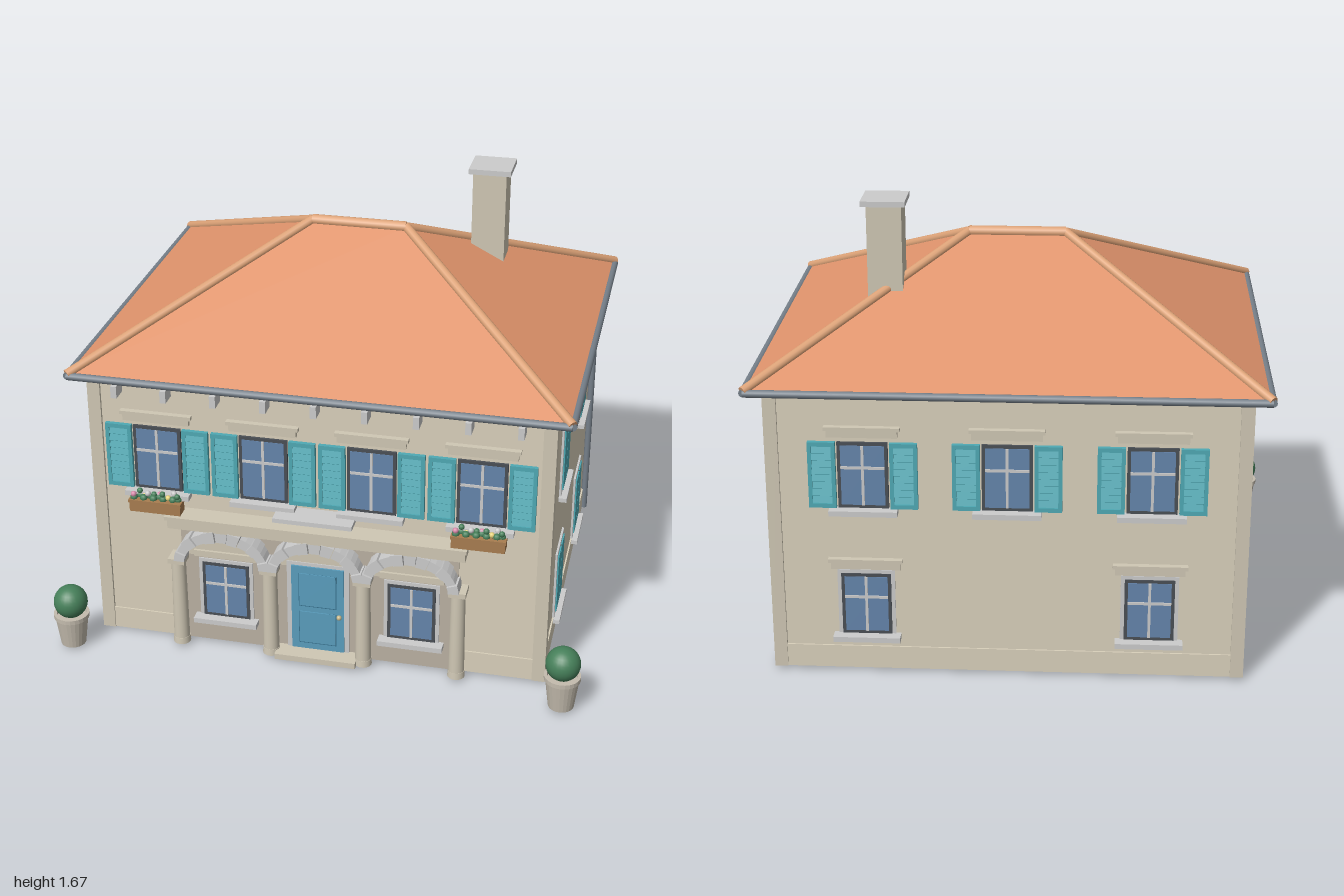
import * as THREE from 'three';

const COLORS = {
  wall: 0xd9d0bb, trim: 0xcfc7b4, white: 0xdcdcd8, stone: 0xd0d0cc, recess: 0xbab0a2,
  roof: 0xe0946c, cap: 0xdca277, gutter: 0x76808a, teal: 0x4fa9b4, tealDark: 0x3b8d97,
  glass: 0x6585ac, frame: 0x4a4f55, door: 0x5a9dbd, doorDark: 0x35708c, brass: 0xc9b98a,
  wood: 0xa87d50, pot: 0xc4bcae, leaf: 0x46805a, pink: 0xd98bab, yellow: 0xe6d27a,
};
const mats = {};
const mat = (c) => (mats[c] ??= new THREE.MeshStandardMaterial({ color: COLORS[c] }));

function add(parent, name, geo, color, x = 0, y = 0, z = 0) {
  const m = new THREE.Mesh(geo, mat(color));
  m.name = name;
  m.position.set(x, y, z);
  parent.add(m);
  return m;
}
// Box given by its limits on each axis
function box(parent, name, color, x0, x1, y0, y1, z0, z1) {
  return add(parent, name, new THREE.BoxGeometry(x1 - x0, y1 - y0, z1 - z0), color,
    (x0 + x1) / 2, (y0 + y1) / 2, (z0 + z1) / 2);
}
function group(parent, name, x = 0, y = 0, z = 0, turn = 0) {
  const g = new THREE.Group();
  g.name = name;
  g.position.set(x, y, z);
  g.rotation.y = turn;
  parent.add(g);
  return g;
}
// Round rod between two points
function rod(parent, name, color, a, b, r, sides = 12) {
  const p = new THREE.Vector3(...a), q = new THREE.Vector3(...b), d = q.clone().sub(p);
  const m = add(parent, name, new THREE.CylinderGeometry(r, r, d.length(), sides), color);
  m.position.copy(p).add(q).multiplyScalar(0.5);
  m.quaternion.setFromUnitVectors(new THREE.Vector3(0, 1, 0), d.normalize());
  return m;
}

// Glazed window on a facade whose outer plane is local z = 0
function glazedWindow(f, x, y0, y1, { shutters = false, lintel = true, surround = false }) {
  const g = group(f, 'window', x), w = 0.09, bar = y0 + (y1 - y0) * 0.62;
  if (surround) box(g, 'windowSurround', 'white', -w - 0.014, w + 0.014, y0, y1 + 0.014, -0.01, 0.006);
  box(g, 'windowFrame', 'frame', -w, w, y0, y1, -0.01, 0.009);
  box(g, 'windowGlass', 'glass', -w + 0.012, w - 0.012, y0 + 0.012, y1 - 0.012, 0, 0.011);
  box(g, 'verticalBar', 'white', -0.005, 0.005, y0 + 0.012, y1 - 0.012, 0, 0.015);
  box(g, 'horizontalBar', 'white', -w + 0.012, w - 0.012, bar - 0.005, bar + 0.005, 0, 0.015);
  box(g, 'windowSill', 'white', -0.122, 0.122, y0 - 0.02, y0, -0.01, 0.045);
  if (lintel) {
    box(g, 'lintel', 'trim', -0.125, 0.125, y1 + 0.02, y1 + 0.046, -0.01, 0.016);
    box(g, 'lintelCap', 'trim', -0.134, 0.134, y1 + 0.046, y1 + 0.06, -0.01, 0.022);
  }
  if (shutters) for (const s of [-1, 1]) {
    const p = group(g, 'shutter', s * 0.145);
    box(p, 'shutterPanel', 'tealDark', -0.04, 0.04, y0 + 0.01, y1 - 0.01, 0, 0.008);
    for (const e of [-1, 1]) {
      box(p, 'shutterStile', 'teal', e * 0.042 - 0.007, e * 0.042 + 0.007, y0, y1, 0, 0.016);
      const yr = e < 0 ? y0 : y1 - 0.016;
      box(p, 'shutterRail', 'teal', -0.04, 0.04, yr, yr + 0.016, 0, 0.016);
    }
    for (let i = 0; i < 8; i++) {
      const y = y0 + 0.016 + (i + 0.5) * (y1 - y0 - 0.032) / 8;
      box(p, 'louvre', 'teal', -0.036, 0.036, y - 0.012, y + 0.012, 0.007, 0.012).rotation.x = -0.3;
    }
  }
}

// Window closed by a pair of flat shutters
function closedWindow(f, x, y0) {
  const g = group(f, 'closedWindow', x, y0), w = 0.087, h = 0.245;
  box(g, 'windowSurround', 'white', -w - 0.017, w + 0.017, -0.017, h + 0.017, -0.01, 0.008);
  for (const s of [-1, 1])
    box(g, 'closedShutter', 'teal', s * 0.045 - 0.042, s * 0.045 + 0.042, 0, h, 0, 0.013);
  box(g, 'shutterGap', 'frame', -0.003, 0.003, 0, h, 0, 0.012);
  box(g, 'windowSill', 'white', -0.115, 0.115, -0.036, -0.02, -0.01, 0.03);
}

// Arch of wedge stones over an elliptical opening
function stoneArch(f, x, y) {
  const g = group(f, 'stoneArch', x, y, 0.005), n = 11;
  for (let i = 0; i < n; i++) {
    const a0 = Math.PI * (i + 0.03) / n, a1 = Math.PI * (i + 0.97) / n, k = i % 2 ? 0 : 0.006;
    const pts = [];
    for (const t of [a0, (a0 + a1) / 2, a1])
      pts.push(new THREE.Vector2(Math.cos(t) * (0.177 + k), Math.sin(t) * (0.138 + k)));
    for (const t of [a1, (a0 + a1) / 2, a0])
      pts.push(new THREE.Vector2(Math.cos(t) * 0.143, Math.sin(t) * 0.098));
    add(g, 'archStone', new THREE.ExtrudeGeometry(new THREE.Shape(pts),
      { depth: 0.062 + k, bevelEnabled: false }), 'stone');
  }
}

function flowerBox(f, x) {
  const g = group(f, 'flowerBox', x, 0.58, 0.047);
  box(g, 'planter', 'wood', -0.097, 0.097, 0, 0.046, -0.026, 0.026);
  box(g, 'planterRim', 'wood', -0.1, 0.1, 0.036, 0.048, -0.029, 0.029);
  const blooms = ['pink', 'leaf', 'yellow', 'white', 'leaf'];
  for (let i = 0; i < 10; i++) {
    const px = -0.083 + i * 0.0184, h = 0.066 + 0.01 * Math.sin(i * 2.4);
    add(g, 'foliage', new THREE.SphereGeometry(0.014, 10, 8), 'leaf', px, 0.052, 0.01 * Math.cos(i * 3));
    add(g, 'bloom', new THREE.SphereGeometry(0.011, 10, 8), blooms[i % 5], px, h, 0.013 * Math.cos(i * 2));
  }
}

function pottedBush(parent, x) {
  const g = group(parent, 'pottedBush', x, 0.012, 0.757);
  const profile = [[0, 0], [0.047, 0], [0.062, 0.115], [0.067, 0.115], [0.067, 0.132], [0.056, 0.132], [0.054, 0.12], [0, 0.12]];
  const geo = new THREE.LatheGeometry(profile.map((p) => new THREE.Vector2(...p)), 24).toNonIndexed();
  geo.computeVertexNormals();
  add(g, 'pot', geo, 'pot');
  add(g, 'bush', new THREE.SphereGeometry(0.064, 24, 16), 'leaf', 0, 0.18, 0);
}

// Hipped roof: eave rectangle rising to a short ridge
function hippedRoof(parent) {
  const g = group(parent, 'roof', 0, 0, -0.07);
  const X = 0.91, Z = 0.75, E = 1.11, R = 0.18, T = 1.483;
  const c = [[-X, E, Z], [X, E, Z], [X, E, -Z], [-X, E, -Z]], l = [-R, T, 0], r = [R, T, 0];
  const tris = [c[0], c[1], r, c[0], r, l, c[1], c[2], r, c[2], c[3], l, c[2], l, r, c[3], c[0], l,
    c[0], c[3], c[2], c[0], c[2], c[1]];
  const geo = new THREE.BufferGeometry();
  geo.setAttribute('position', new THREE.Float32BufferAttribute(tris.flat(), 3));
  geo.computeVertexNormals();
  add(g, 'roofSlopes', geo, 'roof');
  rod(g, 'ridgeCap', 'cap', l, r, 0.021);
  c.forEach((p, i) => {
    const q = c[(i + 1) % 4];
    rod(g, 'hipCap', 'cap', p, i === 0 || i === 3 ? l : r, 0.018);
    rod(g, 'gutter', 'gutter', [p[0], 1.103, p[2]], [q[0], 1.103, q[2]], 0.014);
  });
}

export function createModel() {
  const house = new THREE.Group();
  house.name = 'house';
  const B = 0.012, W = 0.843, ZF = 0.62, ZB = -0.752;

  // Body, plinth, cornice and corner pilasters
  box(house, 'walls', 'wall', -W, W, B, 1.105, ZB, ZF);
  box(house, 'plinth', 'wall', -W - 0.006, W + 0.006, B, 0.1, ZB - 0.006, ZF + 0.006);
  box(house, 'cornice', 'white', -W - 0.008, W + 0.008, 1.07, 1.09, ZB - 0.008, ZF + 0.008);
  for (const s of [-1, 1]) for (const z of [[ZF - 0.043, ZF + 0.011], [ZB - 0.011, ZB + 0.038]])
    box(house, 'cornerPilaster', 'trim', s * 0.832 - 0.024, s * 0.832 + 0.024, B, 1.09, ...z);
  rod(house, 'downpipe', 'gutter', [0.856, B, -0.692], [0.856, 1.1, -0.692], 0.013);

  // Roof and chimney
  hippedRoof(house);
  box(house, 'chimney', 'trim', 0.4, 0.527, 1.2, 1.655, -0.365, -0.24);
  box(house, 'chimneyCap', 'white', 0.385, 0.545, 1.653, 1.673, -0.385, -0.225);

  // Front facade
  const front = group(house, 'frontFacade', 0, 0, ZF);
  for (const x of [-0.6, -0.2, 0.2, 0.6]) glazedWindow(front, x, 0.648, 0.905, { shutters: true });
  for (let i = -4; i <= 4; i++) box(front, 'eaveBracket', 'white', i * 0.184 - 0.011, i * 0.184 + 0.011, 1.034, 1.08, 0, 0.062);
  for (const s of [-1, 1]) flowerBox(front, s * 0.6);
  box(front, 'centreLedge', 'white', -0.147, 0.147, 0.615, 0.632, 0, 0.098);

  // Arcade with recessed panel, columns and entablature
  box(front, 'arcadePanel', 'recess', -0.525, 0.525, B, 0.495, 0, 0.008);
  box(front, 'entablature', 'trim', -0.556, 0.556, 0.522, 0.562, 0, 0.07);
  box(front, 'entablatureCap', 'trim', -0.563, 0.563, 0.562, 0.577, 0, 0.084);
  for (const x of [-0.53, -0.177, 0.177, 0.53]) {
    add(front, 'column', new THREE.CylinderGeometry(0.027, 0.03, 0.36, 20), 'trim', x, 0.192, 0.037);
    add(front, 'columnBase', new THREE.CylinderGeometry(0.031, 0.033, 0.025, 20), 'trim', x, 0.0245, 0.037);
    box(front, 'columnCapital', 'trim', x - 0.032, x + 0.032, 0.368, 0.388, 0, 0.07);
  }
  for (const x of [-0.354, 0, 0.354]) {
    const dome = new THREE.Shape();
    dome.absellipse(0, 0, 0.146, 0.1, 0, Math.PI);
    add(front, 'archInfill', new THREE.ExtrudeGeometry(dome, { depth: 0.012, bevelEnabled: false }), 'trim', x, 0.385, 0);
    stoneArch(front, x, 0.383);
  }
  const lower = group(front, 'groundFloorWindows', 0, 0, 0.008);
  for (const x of [-0.354, 0.354]) {
    glazedWindow(lower, x, 0.128, 0.36, { lintel: false, surround: true });
    box(lower, 'lintel', 'trim', x - 0.12, x + 0.12, 0.385, 0.41, 0, 0.014);
  }

  // Door and steps
  const door = group(front, 'door', 0, 0, 0.008);
  box(door, 'doorSurround', 'white', -0.118, 0.118, B, 0.408, -0.005, 0.008);
  box(door, 'doorLeaf', 'door', -0.1, 0.1, 0.035, 0.394, 0, 0.014);
  for (const [y0, y1] of [[0.06, 0.2], [0.222, 0.365]]) {
    box(door, 'panelGroove', 'doorDark', -0.072, 0.072, y0, y1, 0, 0.015);
    box(door, 'doorPanel', 'door', -0.069, 0.069, y0 + 0.005, y1, 0, 0.018);
  }
  add(door, 'doorKnob', new THREE.SphereGeometry(0.01, 12, 8), 'brass', 0.083, 0.192, 0.02);
  box(front, 'doorStep', 'trim', -0.155, 0.155, 0.01, 0.033, 0, 0.082);
  box(front, 'stepFooting', 'trim', -0.13, 0.13, 0, 0.012, -0.035, 0.06);

  // Back facade
  const back = group(house, 'backFacade', 0, 0, ZB, Math.PI);
  for (const x of [-0.51, 0, 0.51]) glazedWindow(back, x, 0.655, 0.905, { shutters: true });
  for (const x of [-0.51, 0.51]) glazedWindow(back, x, 0.155, 0.395, { surround: true });

  // Side facades
  for (const s of [-1, 1]) {
    const side = group(house, s > 0 ? 'rightFacade' : 'leftFacade', s * W, 0, 0, s * Math.PI / 2);
    for (const z of [0.23, -0.366]) for (const y of [0.118, 0.651]) closedWindow(side, -s * z, y);
    pottedBush(house, s * 0.932);
  }
  return house;
}
